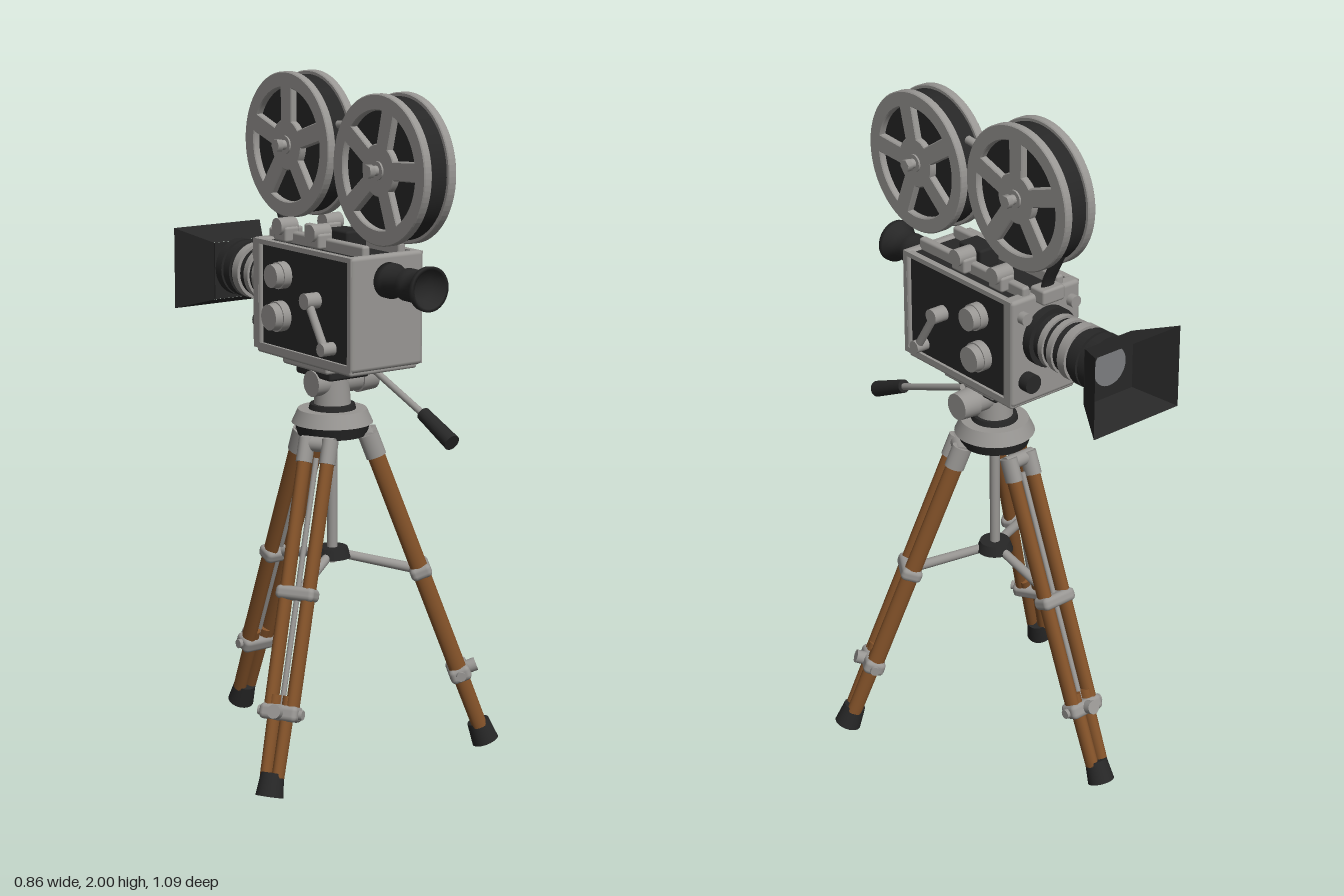
import * as THREE from 'three';
import { RoundedBoxGeometry } from 'three/addons/geometries/RoundedBoxGeometry.js';

const mat = (name, color, side = THREE.FrontSide) => {
  const m = new THREE.MeshStandardMaterial({ color, side });
  m.name = name;
  return m;
};

export function createModel() {
  const metal = mat('grey metal', 0x989693);
  const dark = mat('black', 0x272727, THREE.DoubleSide);
  const wood = mat('wood', 0x835229);
  const glass = mat('lens glass', 0x7c7e80);
  const root = new THREE.Group();
  root.name = 'filmCameraOnTripod';

  const add = (parent, name, geo, m, x = 0, y = 0, z = 0) => {
    const mesh = new THREE.Mesh(geo, m);
    mesh.name = name;
    mesh.position.set(x, y, z);
    parent.add(mesh);
    return mesh;
  };
  const group = (parent, name) => {
    const g = new THREE.Group();
    g.name = name;
    parent.add(g);
    return g;
  };
  const box = (p, name, m, w, h, d, x, y, z, r = 0.008) =>
    add(p, name, new RoundedBoxGeometry(w, h, d, 2, r), m, x, y, z);
  // Cylinder between two points
  const rod = (p, name, m, a, b, r0, r1 = r0, seg = 20) => {
    const A = new THREE.Vector3(...a), B = new THREE.Vector3(...b);
    const mesh = add(p, name, new THREE.CylinderGeometry(r1, r0, A.distanceTo(B), seg), m);
    mesh.position.copy(A).add(B).multiplyScalar(0.5);
    mesh.quaternion.setFromUnitVectors(new THREE.Vector3(0, 1, 0), B.sub(A).normalize());
    return mesh;
  };

  // Camera body: black core, grey end plates, side frames
  const body = group(root, 'cameraBody');
  box(body, 'bodyCore', dark, 0.232, 0.31, 0.45, 0, 1.36, 0.07);
  box(body, 'rearPlate', metal, 0.25, 0.325, 0.03, 0, 1.36, 0.3, 0.012);
  box(body, 'lensPlate', metal, 0.25, 0.325, 0.045, 0, 1.36, -0.15, 0.012);
  box(body, 'basePlate', metal, 0.235, 0.03, 0.46, 0, 1.2, 0.07);
  const rect = (P, x0, y0, x1, y1) => {
    const s = new P();
    s.moveTo(x0, y0).lineTo(x1, y0).lineTo(x1, y1).lineTo(x0, y1).closePath();
    return s;
  };
  const frame = rect(THREE.Shape, -0.31, 1.2, 0.165, 1.52);
  frame.holes.push(rect(THREE.Path, -0.295, 1.217, 0.138, 1.506));
  const frameGeo = new THREE.ExtrudeGeometry(frame, { depth: 0.02, bevelEnabled: false });
  frameGeo.translate(0, 0, -0.01).rotateY(Math.PI / 2);

  for (const s of [-1, 1]) {
    add(body, 'sideFrame', frameGeo, metal, s * 0.115, 0, 0);
    // Side dials and crank
    for (const [y, z, r] of [[1.43, -0.02, 0.039], [1.31, -0.03, 0.044]]) {
      rod(body, 'dialBase', metal, [s * 0.11, y, z], [s * 0.142, y, z], r, r, 28);
      rod(body, 'dialCap', metal, [s * 0.14, y, z], [s * 0.165, y, z], r * 0.92, r * 0.85, 28);
    }
    rod(body, 'crankPivot', metal, [s * 0.11, 1.38, 0.14], [s * 0.163, 1.38, 0.14], 0.023);
    rod(body, 'crankArm', metal, [s * 0.148, 1.38, 0.14], [s * 0.148, 1.255, 0.22], 0.012);
    rod(body, 'crankKnob', metal, [s * 0.12, 1.255, 0.22], [s * 0.163, 1.255, 0.22], 0.019);
    // Top rails and their clamp screws
    box(body, 'topRail', metal, 0.026, 0.04, 0.46, s * 0.062, 1.528, 0.07);
    for (const z of [0.095, -0.067]) {
      box(body, 'screwBlock', metal, 0.05, 0.045, 0.06, s * 0.075, 1.54, z);
      rod(body, 'clampScrew', metal, [s * 0.05, 1.562, z], [s * 0.11, 1.562, z], 0.025);
    }
    rod(body, 'lensPlateKnob', metal, [s * 0.09, 1.47, -0.16], [s * 0.09, 1.47, -0.195], 0.018);
    rod(body, 'lowerKnob', dark, [s * 0.075, 1.27, -0.16], [s * 0.075, 1.27, -0.205], 0.028);
  }

  // Lens barrel as a row of stepped rings [z start, z end, radius, material]
  const lens = group(root, 'lens');
  [[-0.16, -0.2, 0.088, dark], [-0.2, -0.225, 0.073, dark], [-0.225, -0.243, 0.08, metal],
    [-0.243, -0.262, 0.073, dark], [-0.262, -0.282, 0.081, metal], [-0.282, -0.31, 0.074, dark],
    [-0.31, -0.339, 0.084, metal], [-0.339, -0.355, 0.076, dark], [-0.355, -0.385, 0.084, dark],
    [-0.385, -0.395, 0.076, dark], [-0.395, -0.428, 0.085, dark]]
    .forEach(([a, b, r, m]) => rod(lens, 'barrelRing', m, [0, 1.39, a], [0, 1.39, b], r, r, 36));
  rod(lens, 'frontGlass', glass, [0, 1.39, -0.42], [0, 1.39, -0.434], 0.058, 0.058, 36);

  // Flared rectangular hood, open at the front
  let hood = new THREE.CylinderGeometry(Math.SQRT2, Math.SQRT2, 1, 4, 1, true, Math.PI / 4);
  hood.rotateX(-Math.PI / 2);
  const hp = hood.attributes.position;
  for (let i = 0; i < hp.count; i++) {
    const open = hp.getZ(i) < 0;
    hp.setXYZ(i, hp.getX(i) * (open ? 0.155 : 0.088), hp.getY(i) * (open ? 0.122 : 0.086), open ? -0.543 : -0.428);
  }
  hood = hood.toNonIndexed();
  hood.computeVertexNormals();
  add(lens, 'lensHood', hood, dark, 0, 1.382, 0);
  add(lens, 'hoodBack', new THREE.BoxGeometry(0.174, 0.17, 0.006), dark, 0, 1.382, -0.428);

  // Eyepiece with a hollow rubber cup
  const eye = [[0.001, 0.31], [0.05, 0.31], [0.05, 0.34], [0.041, 0.345], [0.041, 0.4], [0.046, 0.405],
    [0.046, 0.43], [0.041, 0.435], [0.043, 0.465], [0.062, 0.49], [0.063, 0.505], [0.054, 0.505],
    [0.035, 0.47], [0.001, 0.47]].map(p => new THREE.Vector2(...p));
  const eyeGeo = new THREE.LatheGeometry(eye, 32);
  eyeGeo.rotateX(Math.PI / 2);
  add(root, 'eyepiece', eyeGeo, dark, 0, 1.45, 0);

  // Film reels: five-window flanges around wound film
  const disc = new THREE.Shape();
  disc.absarc(0, 0, 0.208, 0, Math.PI * 2);
  for (let k = 0; k < 5; k++) {
    const c = -Math.PI / 2 + k * Math.PI * 0.4;
    const w = new THREE.Path();
    w.absarc(0, 0, 0.163, c - 0.46, c + 0.46, false);
    w.absarc(0, 0, 0.073, c + 0.26, c - 0.26, true);
    w.closePath();
    disc.holes.push(w);
  }
  const flangeGeo = new THREE.ExtrudeGeometry(disc, {
    depth: 0.02, bevelThickness: 0.003, bevelSize: 0.003, bevelOffset: -0.003, bevelSegments: 1, curveSegments: 40,
  });
  flangeGeo.translate(0, 0, -0.01).rotateY(Math.PI / 2);
  for (const [y, z, turn] of [[1.76, 0.338, 0.25], [1.789, -0.1, 0]]) {
    const reel = group(root, 'filmReel');
    reel.position.set(0, y, z);
    reel.rotation.x = turn;
    rod(reel, 'woundFilm', dark, [-0.035, 0, 0], [0.035, 0, 0], 0.197, 0.197, 56);
    for (const s of [-1, 1]) {
      add(reel, 'flange', flangeGeo, metal, s * 0.0415, 0, 0);
      rod(reel, 'hub', metal, [s * 0.05, 0, 0], [s * 0.06, 0, 0], 0.026);
      rod(reel, 'axle', metal, [s * 0.05, 0, 0], [s * 0.078, 0, 0], 0.014);
      rod(reel, 'axleNut', metal, [s * 0.074, 0, 0], [s * 0.092, 0, 0], 0.019, 0.019, 6);
    }
  }
  rod(root, 'reelLink', metal, [0, 1.868, 0.165], [0, 1.858, 0.075], 0.012);
  box(root, 'reelSupport', dark, 0.07, 0.06, 0.1, 0, 1.54, 0.12);
  box(root, 'filmGate', metal, 0.08, 0.045, 0.06, 0, 1.52, -0.175);
  // Film strand feeding down into the gate
  const strand = new THREE.TubeGeometry(new THREE.CatmullRomCurve3([[1.69, -0.245], [1.61, -0.205], [1.56, -0.18], [1.52, -0.17]]
    .map(([y, z]) => new THREE.Vector3(0, y, z))), 16, 0.01, 8);
  strand.scale(2.5, 1, 1);
  add(root, 'filmStrand', strand, dark);

  // Pan head
  const head = group(root, 'panHead');
  const Z = 0.053;
  box(head, 'mountPlate', metal, 0.2, 0.025, 0.22, 0, 1.178, Z);
  box(head, 'mountWedge', dark, 0.14, 0.03, 0.17, 0, 1.153, Z);
  rod(head, 'tiltBarrel', metal, [-0.075, 1.12, Z], [0.085, 1.12, Z], 0.038, 0.038, 28);
  rod(head, 'tiltKnob', metal, [0.085, 1.12, Z], [0.142, 1.12, Z], 0.044, 0.04, 28);
  rod(head, 'neck', metal, [0, 1.04, Z], [0, 1.14, Z], 0.055, 0.047, 28);
  rod(head, 'panRing', dark, [0, 1.035, Z], [0, 1.055, Z], 0.07, 0.065, 32);
  rod(head, 'topPlate', metal, [0, 1.0, Z], [0, 1.04, Z], 0.118, 0.1, 36);
  rod(head, 'underPlate', dark, [0, 0.965, Z], [0, 1.0, Z], 0.1, 0.11, 36);
  rod(head, 'panArm', metal, [0.105, 1.165, 0.07], [0.105, 1.055, 0.36], 0.01);
  rod(head, 'panGrip', dark, [0.105, 1.062, 0.345], [0.105, 1.003, 0.475], 0.02, 0.024);

  // Centre column and spreader hub
  rod(root, 'centreColumn', metal, [0, 0.58, Z], [0, 0.98, Z], 0.015);
  rod(root, 'spreaderHub', dark, [0, 0.595, Z], [0, 0.625, Z], 0.055, 0.045, 24);

  // Tripod legs; local y runs up the leg and local z faces outward
  for (const [yaw, R] of [[Math.PI, 0.493], [1.02, 0.465], [-1.02, 0.465]]) {
    const leg = group(root, 'tripodLeg');
    const lean = Math.atan((R - 0.1) / 0.97);
    leg.position.set(R * Math.sin(yaw), 0, Z + R * Math.cos(yaw));
    leg.rotation.set(-lean, yaw, 0, 'YXZ');
    rod(leg, 'foot', dark, [0, 0.015, 0], [0, 0.082, 0], 0.04, 0.033, 24);
    for (const s of [-1, 1]) {
      // Spars are oval, deeper along the leg's outward direction
      rod(leg, 'lowerSpar', wood, [s * 0.018, 0.07, 0], [s * 0.02, 0.3, 0], 0.0175, 0.0185).scale.z = 1.3;
      rod(leg, 'upperSpar', wood, [s * 0.033, 0.25, 0], [s * 0.036, 0.99, 0], 0.019).scale.z = 1.35;
      rod(leg, 'sparCap', metal, [s * 0.036, 0.965, 0], [s * 0.036, 1.035, 0], 0.023).scale.z = 1.3;
      rod(leg, 'clampScrew', metal, [s * 0.05, 0.252, 0], [s * 0.068, 0.252, 0], 0.014);
    }
    rod(leg, 'innerRod', metal, [0, 0.25, 0], [0, 0.98, 0], 0.008, 0.008, 12);
    rod(leg, 'hinge', metal, [-0.05, 1.02, 0], [0.05, 1.02, 0], 0.022);
    box(leg, 'lowerClamp', metal, 0.116, 0.046, 0.064, 0, 0.252, 0, 0.015);
    box(leg, 'middleClamp', metal, 0.118, 0.04, 0.064, 0, 0.59, 0, 0.015);
    rod(leg, 'lockKnob', metal, [0, 0.252, 0.02], [0, 0.252, 0.055], 0.02);
    // Spreader arm from the hub to the middle clamp
    const reach = R - 0.59 * Math.sin(lean) - 0.01;
    rod(root, 'spreaderArm', metal, [0, 0.61, Z],
      [reach * Math.sin(yaw), 0.59 * Math.cos(lean), Z + reach * Math.cos(yaw)], 0.013, 0.015);
  }
  return root;
}
